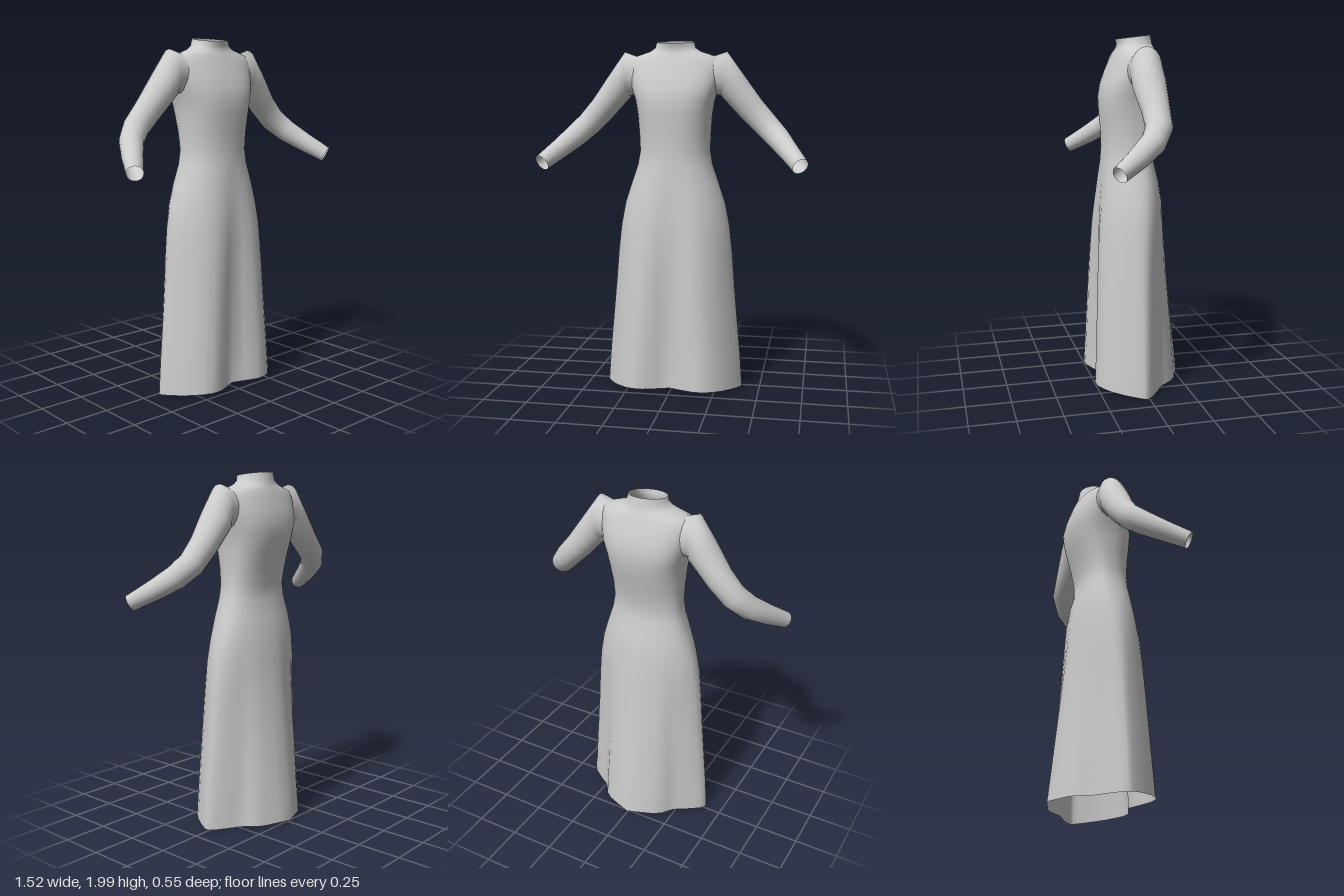
import * as THREE from 'three';

const material = new THREE.MeshStandardMaterial({ color: 0xcccccc, side: THREE.DoubleSide });

// Skin a list of closed rings (arrays of Vector3) into one open, smooth surface
function loft(name, rings) {
  const n = rings[0].length, index = [];
  for (let i = 0; i < rings.length - 1; i++) {
    for (let j = 0; j < n; j++) {
      const k = (j + 1) % n;
      const a = i * n + j, b = i * n + k, c = a + n, d = b + n;
      index.push(a, b, d, a, d, c);
    }
  }
  const geometry = new THREE.BufferGeometry().setFromPoints(rings.flat());
  geometry.setIndex(index);
  geometry.computeVertexNormals();
  const mesh = new THREE.Mesh(geometry, material);
  mesh.name = name;
  return mesh;
}

// Half outline of the wavy hem from centre front to centre back, as [x, z]
const hem = [[0, 0.19], [0.18, 0.262], [0.3, 0.19], [0.385, 0.06], [0.397, 0.01],
  [0.32, -0.06], [0.24, -0.115], [0.18, -0.195], [0, -0.272]];
const hemCurve = new THREE.CatmullRomCurve3(hem.map(([x, z]) => new THREE.Vector3(x, 0, z)));

// Gown sections: height, half width, front depth, back depth, squareness, share of hem shape
const sections = [
  [0.008, 0.397, 0.262, 0.272, 2.0, 1],
  [0.2, 0.384, 0.255, 0.252, 2.0, 0.95],
  [0.4, 0.366, 0.248, 0.23, 2.0, 0.85],
  [0.6, 0.348, 0.242, 0.207, 2.0, 0.72],
  [0.8, 0.332, 0.234, 0.186, 2.0, 0.55],
  [0.95, 0.315, 0.224, 0.17, 2.1, 0.38],
  [1.08, 0.29, 0.21, 0.158, 2.1, 0.22],
  [1.2, 0.25, 0.195, 0.135, 2.2, 0.1],
  [1.3, 0.215, 0.183, 0.108, 2.2, 0],
  [1.38, 0.201, 0.178, 0.108, 2.2, 0],
  [1.48, 0.204, 0.18, 0.13, 2.3, 0],
  [1.58, 0.21, 0.188, 0.158, 2.5, 0],
  [1.66, 0.222, 0.19, 0.175, 2.6, 0],
  [1.73, 0.245, 0.175, 0.177, 2.6, 0],
  [1.8, 0.262, 0.148, 0.162, 2.4, 0],
  [1.86, 0.27, 0.122, 0.142, 2.2, 0],
  [1.9, 0.255, 0.104, 0.128, 2.1, 0],
  [1.917, 0.2, 0.095, 0.12, 2, 0],
  [1.935, 0.145, 0.09, 0.113, 2, 0],
  [1.955, 0.115, 0.09, 0.108, 2, 0],
  [1.988, 0.106, 0.098, 0.1, 2, 0],
];

function gown() {
  const steps = 40;
  const rings = sections.map(([y, w, front, back, power, share], row) => {
    const ring = [];
    for (let j = 0; j < steps; j++) {
      const u = (j / steps) * Math.PI * 2;
      const s = Math.sin(u), c = Math.cos(u);
      // rounded body section
      const x = w * Math.sign(s) * Math.abs(s) ** (2 / power);
      const z = (c > 0 ? front : back) * Math.sign(c) * Math.abs(c) ** (2 / power);
      // hem section scaled to the same size
      const h = hemCurve.getPoint(Math.min(j, steps - j) / (steps / 2));
      const hx = Math.sign(s) * h.x * (w / 0.397);
      const hz = h.z * (h.z > 0 ? front / 0.262 : back / 0.272);
      const p = new THREE.Vector3(x + (hx - x) * share, y, z + (hz - z) * share);
      // the hem lifts at front and back, the collar is higher behind
      if (row === 0) p.y += p.z > 0 ? p.z * 0.11 : -p.z * 0.05;
      if (row === sections.length - 1) p.y -= p.z * 0.12;
      ring.push(p);
    }
    return ring;
  });
  return loft('gown', rings);
}

// Sleeve stations: centre x, y, z, radius across the arm, radius in depth
const stations = [
  [0.19, 1.8, 0, 0.1, 0.085],
  [0.28, 1.812, -0.005, 0.123, 0.09],
  [0.325, 1.742, -0.008, 0.087, 0.092],
  [0.43, 1.615, -0.015, 0.077, 0.076],
  [0.515, 1.525, -0.01, 0.071, 0.072],
  [0.585, 1.455, 0.04, 0.066, 0.066],
  [0.65, 1.387, 0.135, 0.056, 0.057],
  [0.717, 1.317, 0.245, 0.047, 0.044],
];

function sleeve(name, side) {
  const steps = 20;
  const centres = stations.map(([x, y, z]) => new THREE.Vector3(x, y, z));
  const rings = stations.map(([, , , across, depth], i) => {
    const along = centres[Math.min(i + 1, centres.length - 1)].clone().sub(centres[Math.max(i - 1, 0)]);
    if (i < 2) along.set(1, -0.1 * i, 0); // upright rings at the shoulder
    along.normalize();
    const up = new THREE.Vector3(-along.y, along.x, 0).normalize();
    const out = along.clone().cross(up);
    const ring = [];
    for (let j = 0; j < steps; j++) {
      const a = (j / steps) * Math.PI * 2;
      const p = centres[i].clone()
        .addScaledVector(up, Math.cos(a) * across)
        .addScaledVector(out, Math.sin(a) * depth);
      p.x *= side;
      ring.push(p);
    }
    return side > 0 ? ring : ring.reverse();
  });
  return loft(name, rings);
}

export function createModel() {
  const dress = new THREE.Group();
  dress.name = 'dress';
  dress.add(gown(), sleeve('leftSleeve', 1), sleeve('rightSleeve', -1));
  return dress;
}
